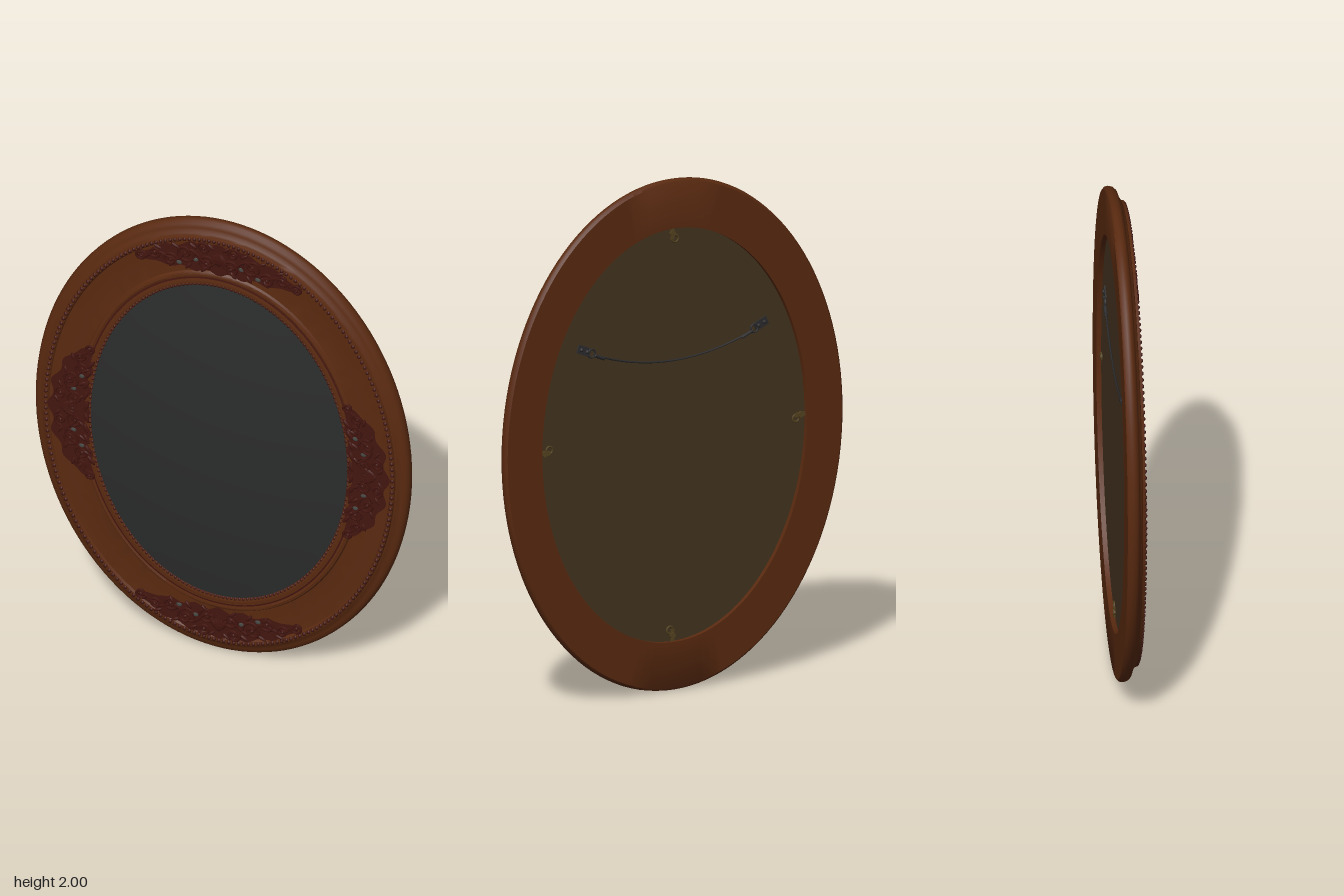
import * as THREE from 'three';
import { mergeGeometries, toCreasedNormals } from 'three/addons/utils/BufferGeometryUtils.js';

const paint = (name, color) => {
  const m = new THREE.MeshStandardMaterial({ color });
  m.name = name;
  return m;
};

// Elliptical layout: t = 0 at the outer edge of the frame, t = 1 at the glass
const point = (theta, t, z) => new THREE.Vector3(
  (0.765 - 0.245 * t) * Math.cos(theta), 1 + (1 - 0.28 * t) * Math.sin(theta), z);

// Grid surface from a function (i, j) -> Vector3
function grid(nu, nv, at, wrapU, wrapV) {
  const pos = [], index = [];
  const ru = wrapU ? nu : nu + 1, rv = wrapV ? nv : nv + 1;
  for (let i = 0; i < ru; i++) for (let j = 0; j < rv; j++) pos.push(...at(i, j).toArray());
  for (let i = 0; i < nu; i++) for (let j = 0; j < nv; j++) {
    const a = i * rv + j, b = ((i + 1) % ru) * rv + j;
    const j1 = (j + 1) % rv, c = ((i + 1) % ru) * rv + j1, d = i * rv + j1;
    index.push(a, b, c, a, c, d);
  }
  const g = new THREE.BufferGeometry();
  g.setAttribute('position', new THREE.Float32BufferAttribute(pos, 3));
  g.setIndex(index);
  g.computeVertexNormals();
  return g;
}

// Sweeps a [t, z] profile once round the ellipse
function sweep(profile, closed) {
  const n = 128;
  return grid(n, closed ? profile.length : profile.length - 1,
    (i, j) => point(i / n * Math.PI * 2, ...profile[j]), true, closed);
}

// Disc scaled from an ellipse, with z given by the relative radius
function disc(a, b, height, facingBack) {
  const n = 96, rings = 12;
  return grid(n, rings, (i, j) => {
    const r = facingBack ? j / rings : 1 - j / rings, th = i / n * Math.PI * 2;
    return new THREE.Vector3(a * r * Math.cos(th), 1 + b * r * Math.sin(th), height(r));
  }, true, false);
}

function beads(count, t, z, r) {
  const list = [];
  for (let i = 0; i < count; i++) {
    const p = point(i / count * Math.PI * 2, t, z);
    list.push(new THREE.SphereGeometry(r, 7, 5).translate(p.x, p.y, p.z));
  }
  return mergeGeometries(list);
}

const tube = (pts, r, n = 24) => new THREE.TubeGeometry(new THREE.CatmullRomCurve3(pts), n, r, 5);

// One carved cluster: a scalloped ground, spiral scrolls, leaves and pale inlays
function carving(theta0, side) {
  const R = side ? 0.83 : 0.667, half = 0.33;
  const mid = s => side ? 0.63 + 0.17 * s * s : 0.53 - 0.17 * s * s;
  const width = s => (side ? 0.36 : 0.26) * Math.pow(Math.max(0, 1 - s * s), 0.6) *
    (0.87 + 0.13 * Math.cos(s * Math.PI * 6));
  const at = (u, v, z) => point(theta0 + u / R, mid(u / half) + v / 0.26, z);

  const parts = [grid(48, 4, (i, j) => {
    const s = i / 24 - 1;
    return point(theta0 + s * half / R, mid(s) + width(s) * (j / 2 - 1), side ? 0.0142 : 0.0125);
  }, false, false)];

  const inlays = [];
  const scroll = (u, v, r, start, turn, m) => {
    const pts = [];
    for (let k = 0; k <= 16; k++) {
      const a = start + turn * k / 16 * Math.PI * 3, q = r * (1 - 0.85 * k / 16);
      pts.push(at(m * (u + q * Math.cos(a)), v + q * Math.sin(a), 0.012));
    }
    parts.push(tube(pts, 0.0058, 30));
    const c = at(m * u, v, 0.0125);
    parts.push(new THREE.SphereGeometry(0.007, 7, 5).translate(c.x, c.y, c.z));
  };
  const leaf = (u, v, len, angle) => {
    const c = at(u, v, 0.0125), d = at(u + 0.01 * Math.cos(angle), v + 0.01 * Math.sin(angle), 0.0125);
    parts.push(new THREE.SphereGeometry(1, 8, 6).scale(len, len * 0.35, 0.006)
      .rotateZ(Math.atan2(d.y - c.y, d.x - c.x)).translate(c.x, c.y, c.z));
  };

  for (const m of [-1, 1]) {
    scroll(0.055, 0.025, 0.036, Math.PI, 1, m);
    scroll(0.06, -0.04, 0.026, 0, -1, m);
    scroll(0.14, -0.012, 0.04, Math.PI, -1, m);
    scroll(0.21, 0.02, 0.03, Math.PI, 1, m);
    scroll(0.265, -0.012, 0.024, 0, 1, m);
    scroll(0.325, 0, 0.022, Math.PI, side ? -1 : 1, m);
    // Winding stem that links the scrolls
    const stem = [];
    for (let k = 0; k <= 12; k++) {
      const u = 0.01 + k * 0.0265;
      stem.push(at(m * u, 0.035 * Math.sin(k * 1.15) * (1 - k / 16), 0.012));
    }
    parts.push(tube(stem, 0.006, 36));
    for (let k = 0; k < 7; k++) {
      const s = k % 2 ? 1 : -1;
      leaf(m * (0.03 + k * 0.036), s * (0.052 - k * 0.003), 0.02, s * m * 0.7);
    }
    if (side) for (let k = 0; k < 5; k++) leaf(m * (0.03 + k * 0.055), 0.075 - k * 0.008, 0.026, m * 0.2);
    for (const [u, v] of [[0.1, 0.012], [0.175, 0.03]]) {
      const c = at(m * u, v, 0.0145);
      inlays.push(new THREE.SphereGeometry(1, 8, 6).scale(0.012, 0.009, 0.002).translate(c.x, c.y, c.z));
    }
  }
  // Central shell
  for (let k = -2; k <= 2; k++) leaf(k * 0.009, -0.005, 0.034, Math.PI / 2 - k * 0.3);
  const clean = list => mergeGeometries(list.map(g => {
    g.deleteAttribute('uv');
    return g;
  }));
  return { wood: clean(parts), inlay: clean(inlays) };
}

export function createModel() {
  const group = new THREE.Group();
  const wood = paint('warm wood', 0x5a2a10);
  const carved = paint('dark red wood', 0x43150f);
  const glass = paint('dark glass', 0x2b2c2c);
  const board = paint('backing board', 0x44341f);
  const steel = paint('dark steel', 0x2c2c2e);
  const brass = paint('old brass', 0x55431f);
  const pale = paint('grey inlay', 0x474a45);
  carved.side = THREE.DoubleSide;
  const add = (name, geometry, material, parent = group) => {
    const mesh = new THREE.Mesh(geometry, material);
    mesh.name = name;
    parent.add(mesh);
    return mesh;
  };

  // Moulded oval frame, from the back edge over the front to the rear recess
  add('frame', toCreasedNormals(sweep([
    [0.04, -0.062], [0.01, -0.055], [0, -0.042], [0.015, -0.028], [0.05, -0.018],
    [0.1, -0.014], [0.14, -0.011], [0.17, -0.004], [0.2, 0], [0.21, 0.01], [0.27, 0.01],
    [0.29, 0.002], [0.5, -0.001], [0.76, 0.002], [0.78, 0.01], [0.82, 0.013],
    [0.86, 0.008], [0.9, 0.01], [0.94, 0.012], [1, 0.006], [1, -0.04],
    [0.68, -0.042], [0.68, -0.062]], true), 0.7), wood);
  add('outerBeading', beads(220, 0.24, 0.009, 0.0085), carved);
  add('innerBeading', beads(200, 0.97, 0.007, 0.007), carved);
  add('innerGroove', sweep([[0.85, 0.0095], [0.875, 0.0105]], false), carved);

  // Domed glass and flat backing board
  add('glass', disc(0.523, 0.723, r => 0.06 - 0.052 * r * r, false), glass);
  add('backBoard', disc(0.6, 0.812, () => -0.0435, true), board);

  // Carved clusters at the top, bottom and both sides
  ['left', 'top', 'right', 'bottom'].forEach((where, k) => {
    const c = carving(k * Math.PI / 2, k % 2 === 0);
    add(where + 'Carving', c.wood, carved);
    add(where + 'Inlay', c.inlay, pale);
  });

  // Turn buttons that hold the board
  for (let k = 0; k < 4; k++) {
    const clip = new THREE.Group();
    clip.name = 'turnButton';
    clip.position.copy(point(k * Math.PI / 2, 0.76, -0.046));
    clip.rotation.z = k * Math.PI / 2;
    add('buttonPlate', new THREE.BoxGeometry(0.05, 0.016, 0.005), brass, clip);
    add('buttonScrew', new THREE.CylinderGeometry(0.012, 0.012, 0.01, 12).rotateX(Math.PI / 2), brass, clip);
    add('buttonCurl', new THREE.TorusGeometry(0.014, 0.004, 6, 14, 4.5).translate(-0.022, 0.012, 0), brass, clip);
    group.add(clip);
  }

  // Hanging wire with a strap hanger at each end
  const wire = [];
  for (let k = 0; k <= 12; k++) {
    const x = -0.36 + k * 0.06;
    wire.push(new THREE.Vector3(x, 1.29 + 0.07 * (x / 0.36) ** 2, -0.05));
  }
  add('hangingWire', tube(wire, 0.004, 40), steel);
  for (const m of [-1, 1]) {
    const hanger = new THREE.Group();
    hanger.name = 'strapHanger';
    hanger.position.set(m * 0.4, 1.38, -0.046);
    hanger.rotation.z = m * 0.4;
    add('strap', new THREE.BoxGeometry(0.06, 0.034, 0.006), steel, hanger);
    add('ring', new THREE.TorusGeometry(0.016, 0.004, 6, 16).translate(-m * 0.035, 0, -0.003), steel, hanger);
    for (const x of [-0.014, 0.014])
      add('screw', new THREE.SphereGeometry(0.008, 8, 6).translate(x, 0, -0.003), steel, hanger);
    add('wireKnot', new THREE.CapsuleGeometry(0.007, 0.04, 3, 6).rotateZ(Math.PI / 2)
      .translate(-m * 0.075, -0.004, -0.004), steel, hanger);
    group.add(hanger);
  }
  return group;
}
